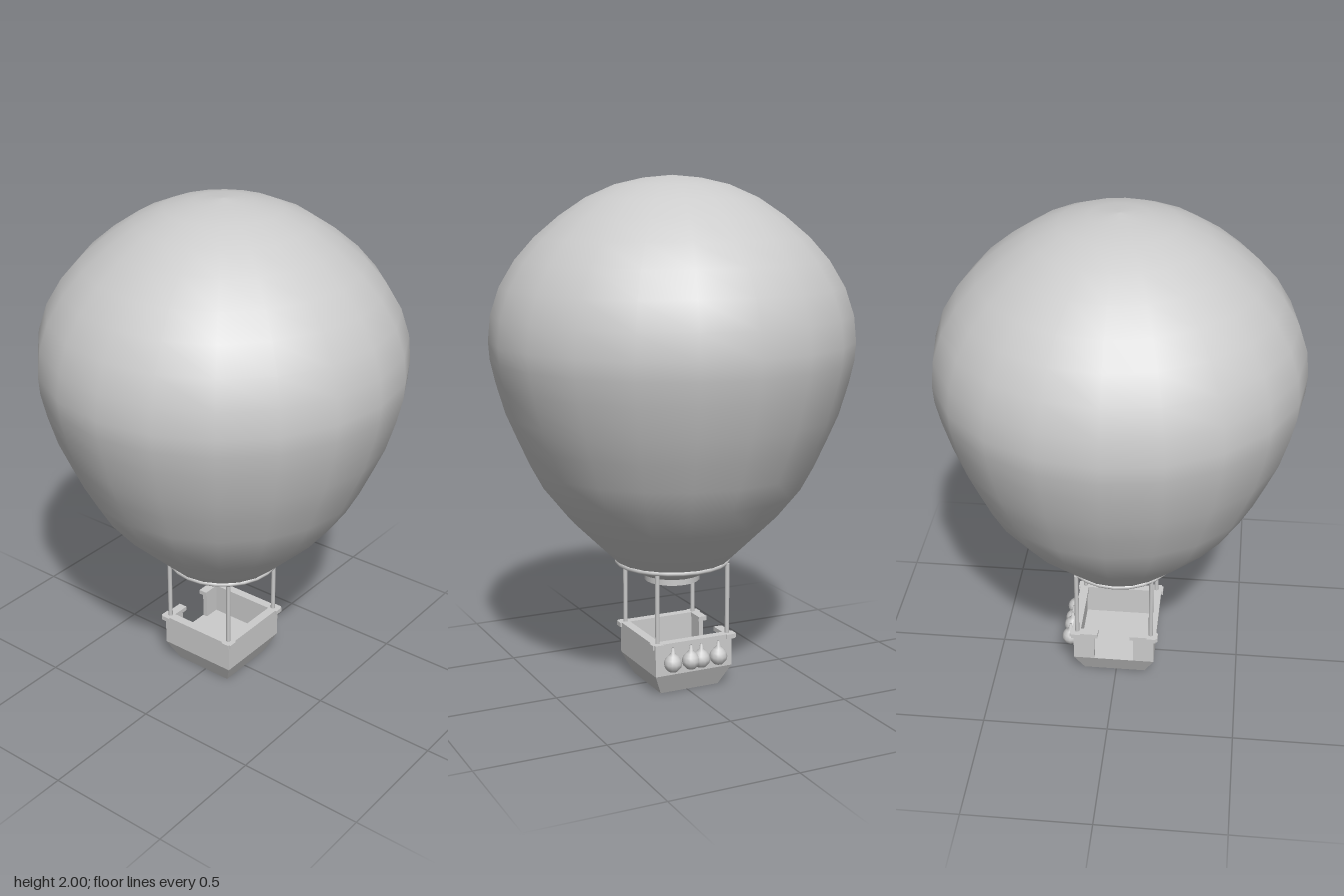
import * as THREE from 'three';

const material = new THREE.MeshStandardMaterial({ color: 0xcccccc });
const flatMaterial = new THREE.MeshStandardMaterial({ color: 0xcccccc, flatShading: true });

function add(parent, name, geometry, x = 0, y = 0, z = 0, mat = material) {
  const mesh = new THREE.Mesh(geometry, mat);
  mesh.name = name;
  mesh.position.set(x, y, z);
  parent.add(mesh);
  return mesh;
}

const lathe = (pairs, sides) =>
  new THREE.LatheGeometry(pairs.map(([r, y]) => new THREE.Vector2(r, y)), sides);

export function createModel() {
  const model = new THREE.Group();
  model.name = 'hotAirBalloon';

  // Envelope: bottom to top, 20 smooth gores
  add(model, 'envelope', lathe([
    [0, 0.445], [0.115, 0.445], [0.17, 0.47], [0.23, 0.51], [0.315, 0.592], [0.415, 0.69],
    [0.504, 0.8], [0.555, 0.895], [0.602, 1.0], [0.645, 1.1], [0.68, 1.22], [0.7, 1.31],
    [0.705, 1.38], [0.695, 1.48], [0.66, 1.585], [0.6, 1.685], [0.525, 1.77],
    [0.43, 1.85], [0.33, 1.917], [0.22, 1.965], [0.11, 1.99], [0, 2],
  ], 20));

  // Burner neck and load ring
  add(model, 'neck', new THREE.CylinderGeometry(0.11, 0.11, 0.04, 20), 0, 0.44, 0);
  const ring = new THREE.TorusGeometry(0.22, 0.01, 8, 24);
  ring.rotateX(Math.PI / 2);
  add(model, 'loadRing', ring, 0, 0.5, 0);

  // Basket
  const basket = new THREE.Group();
  basket.name = 'basket';
  basket.position.set(-0.012, 0, -0.007);
  model.add(basket);

  const half = 0.166, floorY = 0.085, rimY = 0.208;
  const hull = new THREE.CylinderGeometry(half * Math.SQRT2, 0.126 * Math.SQRT2, floorY, 4);
  hull.rotateY(Math.PI / 4);
  add(basket, 'lowerHull', hull, 0, floorY / 2, 0, flatMaterial);

  // One side of the basket: wall and rim with the same length, along x or z
  const thick = 0.02, wallH = 0.2 - floorY, mid = half - thick / 2;
  function side(name, length, alongX, x, z) {
    const box = (len, h, w) => alongX
      ? new THREE.BoxGeometry(len, h, w) : new THREE.BoxGeometry(w, h, len);
    add(basket, name + 'Wall', box(length, wallH, thick), x, floorY + wallH / 2, z);
    add(basket, name + 'Rim', box(length + 0.03, 0.018, 0.036), x, rimY, z);
  }
  side('front', 2 * half, true, 0, mid);
  side('back', 2 * half, true, 0, -mid);
  side('left', 2 * half, false, mid, 0);

  // Right side has a doorway between two short stubs
  const stub = 0.085;
  for (const s of [-1, 1]) {
    side(s > 0 ? 'doorFront' : 'doorBack', stub, false, -mid, s * (half - stub / 2));
  }

  // Corner rods up to the load ring
  for (const sx of [-1, 1]) for (const sz of [-1, 1]) {
    add(basket, 'rod', new THREE.CylinderGeometry(0.009, 0.009, 0.3, 8),
      sx * 0.152, 0.35, sz * 0.152);
  }

  // Teardrop sandbags on the back wall
  const bag = lathe([
    [0, -0.036], [0.019, -0.031], [0.032, -0.017], [0.036, 0], [0.031, 0.017],
    [0.02, 0.03], [0.009, 0.04], [0.005, 0.062], [0, 0.062],
  ], 12);
  for (const x of [0.09, 0.012, -0.033, -0.108]) add(model, 'sandbag', bag, x, 0.14, -0.194);

  return model;
}
